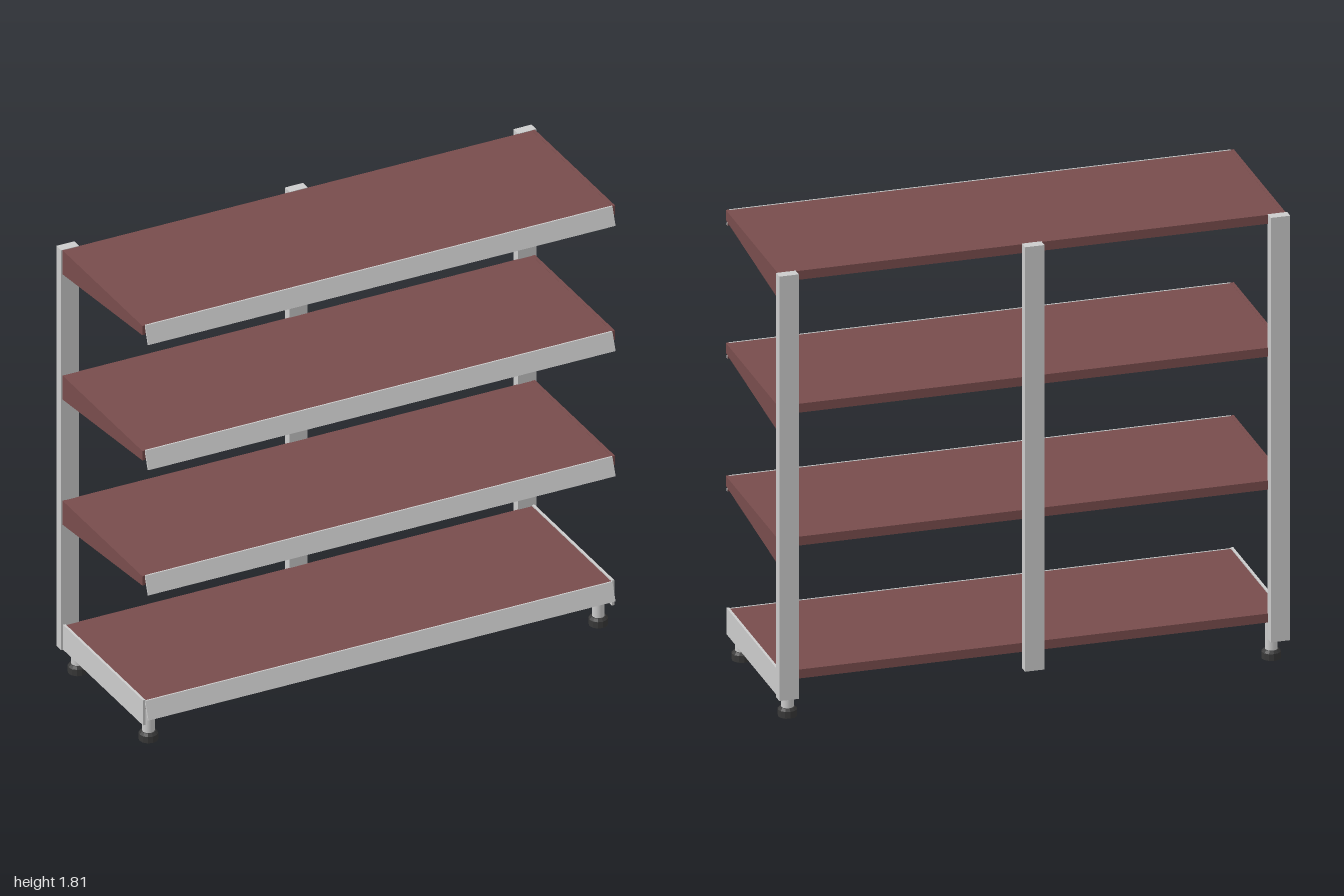
import * as THREE from 'three';

const grey = new THREE.MeshStandardMaterial({ color: 0xcccccc });
const red = new THREE.MeshStandardMaterial({ color: 0x784c4c });
const black = new THREE.MeshStandardMaterial({ color: 0x383838 });

function add(parent, name, geometry, material, x = 0, y = 0, z = 0) {
  const mesh = new THREE.Mesh(geometry, material);
  mesh.name = name;
  mesh.position.set(x, y, z);
  parent.add(mesh);
  return mesh;
}

// Extrudes a [z, y] outline along x, centred on x = 0
function sideProfile(points, width) {
  const shape = new THREE.Shape(points.map(([z, y]) => new THREE.Vector2(-z, y)));
  const g = new THREE.ExtrudeGeometry(shape, { depth: width, bevelEnabled: false });
  return g.translate(0, 0, -width / 2).rotateY(Math.PI / 2);
}

// Solid shelf board
const boardGeometry = new THREE.BoxGeometry(1.964, 0.036, 0.648);
// Sloping front strip with a narrow lip against the board
const stripGeometry = sideProfile([
  [0.326, 0], [0.332, 0], [0.358, -0.071], [0.3505, -0.074], [0.326, -0.005],
], 1.966);
// Sheet lining the rear of the strip
const liningGeometry = sideProfile([
  [0.327, -0.008], [0.329, -0.008], [0.3515, -0.0735], [0.3495, -0.0735],
], 1.964);
const bracketGeometry = sideProfile([[0.33, 0], [0.33, -0.04], [-0.32, -0.103], [-0.32, 0]], 0.013);
const basePanelGeometry = sideProfile([[0.33, 0.004], [0.33, -0.103], [-0.32, -0.103], [-0.32, 0.004]], 0.01);

function createShelf(top, isBase) {
  const shelf = new THREE.Group();
  shelf.name = isBase ? 'baseShelf' : 'shelf';
  shelf.position.y = top;
  add(shelf, 'shelfBoard', boardGeometry, red, 0, -0.019, 0.004);
  add(shelf, 'frontStrip', stripGeometry, grey);
  add(shelf, 'stripLining', liningGeometry, red);
  for (const s of [-1, 1]) {
    if (isBase) add(shelf, 'baseSidePanel', basePanelGeometry, grey, s * 0.987);
    else add(shelf, 'shelfBracket', bracketGeometry, red, s * 0.988);
  }
  return shelf;
}

function createFoot(x, z) {
  const foot = new THREE.Group();
  foot.name = 'foot';
  foot.position.set(x, 0, z);
  add(foot, 'footStem', new THREE.CylinderGeometry(0.024, 0.024, 0.145, 16), grey, 0, 0.1045, 0);
  // Chamfered faceted pad
  const pad = new THREE.LatheGeometry([
    [0, 0], [0.037, 0], [0.037, 0.027], [0.028, 0.037], [0, 0.037],
  ].map(([r, y]) => new THREE.Vector2(r, y)), 12).toNonIndexed();
  pad.computeVertexNormals();
  add(foot, 'footPad', pad, black);
  return foot;
}

export function createModel() {
  const model = new THREE.Group();
  model.name = 'shelvingUnit';

  // Rear uprights
  const uprightGeometry = new THREE.BoxGeometry(0.076, 1.715, 0.039);
  for (const x of [-0.962, 0, 0.962]) {
    add(model, 'upright', uprightGeometry, grey, x, 0.9475, -0.3375);
  }

  // Shelves, lowest one with grey side panels
  for (let i = 0; i < 4; i++) model.add(createShelf(0.193 + i * 0.537, i === 0));

  // Levelling feet
  for (const x of [-0.947, 0.947]) {
    for (const z of [-0.288, 0.287]) model.add(createFoot(x, z));
  }
  return model;
}
